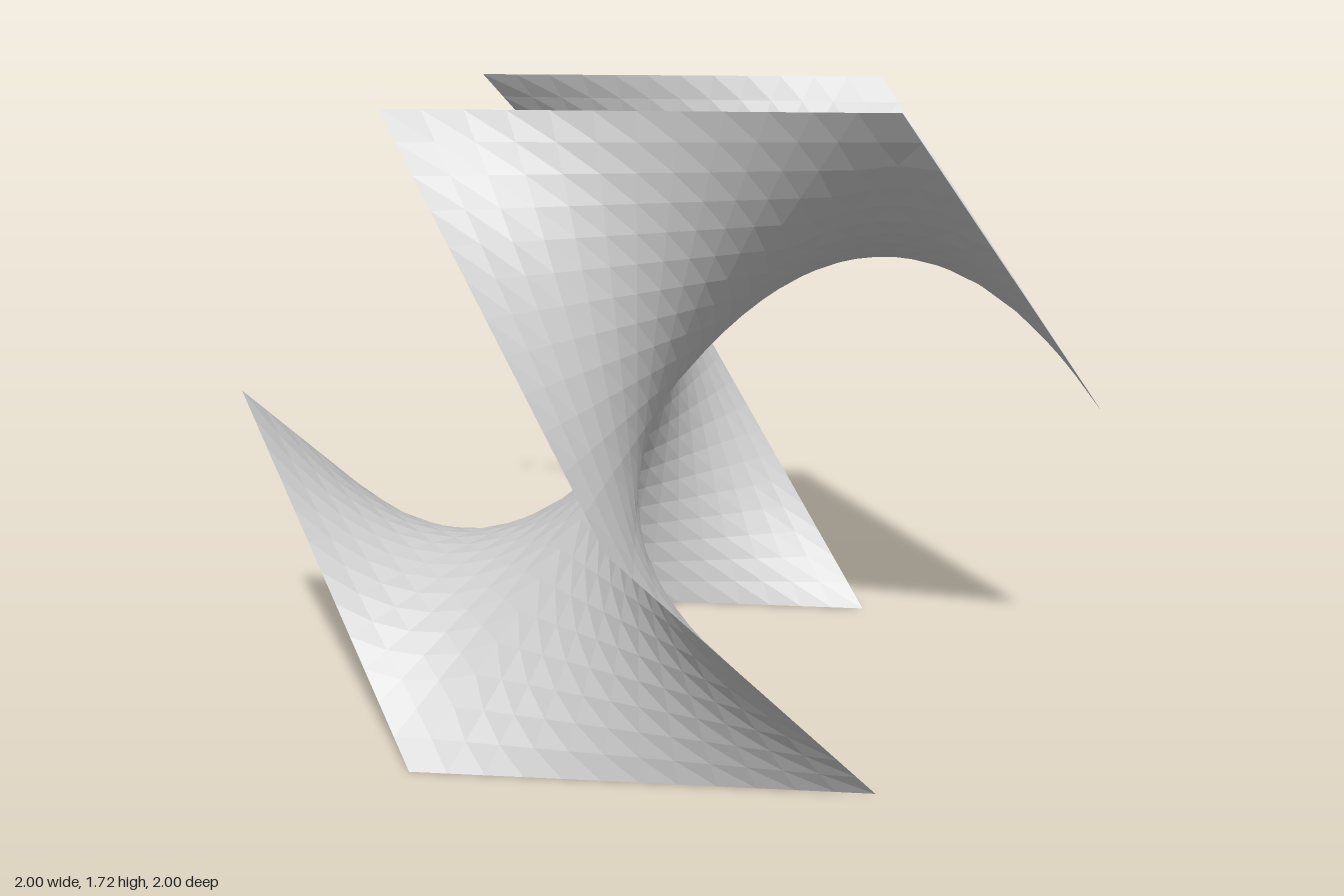
import * as THREE from 'three';
import { mergeVertices } from 'three/addons/utils/BufferGeometryUtils.js';

const HALF = 0.859;                 // half the side of the enclosing cube
const TURN = Math.atan2(0.31, 1.69); // turn of the cube about the vertical
const STEPS = 12;                   // facets along each patch edge

// Closed 12-sided rim through the midpoints of the cube's edges
const half = [[1, 1, 0], [1, 0, 1], [0, 1, 1], [-1, 1, 0], [-1, 0, 1], [0, -1, 1]];
const rim = [...half, ...half.map(p => p.map(c => -c))]
  .map(p => new THREE.Vector3(...p).multiplyScalar(HALF));

// Saddle patch ruled across the skew quad a-b-c-d
function saddlePatch(a, b, c, d) {
  const positions = [], index = [], row = STEPS + 1;
  for (let i = 0; i <= STEPS; i++) {
    const p = a.clone().lerp(b, i / STEPS);
    const q = d.clone().lerp(c, i / STEPS);
    for (let j = 0; j <= STEPS; j++) {
      positions.push(...p.clone().lerp(q, j / STEPS).toArray());
      if (i < STEPS && j < STEPS) {
        const k = i * row + j;
        index.push(k, k + row, k + row + 1, k, k + row + 1, k + 1);
      }
    }
  }
  const geometry = new THREE.BufferGeometry();
  geometry.setAttribute('position', new THREE.Float32BufferAttribute(positions, 3));
  geometry.setIndex(index);
  const merged = mergeVertices(geometry);
  merged.computeVertexNormals();
  return merged;
}

export function createModel() {
  const model = new THREE.Group();
  model.name = 'saddleSurface';
  const material = new THREE.MeshStandardMaterial({
    color: 0xcccccc, flatShading: true, side: THREE.DoubleSide,
  });

  // Six equal saddles fanned around the centre
  const sheet = new THREE.Group();
  sheet.name = 'sheet';
  const centre = new THREE.Vector3();
  for (let i = 0; i < 12; i += 2) {
    const patch = new THREE.Mesh(
      saddlePatch(centre, rim[i], rim[i + 1], rim[(i + 2) % 12]), material);
    patch.name = `saddlePatch${i / 2 + 1}`;
    sheet.add(patch);
  }
  sheet.rotation.y = -TURN;
  sheet.position.y = HALF;
  model.add(sheet);
  return model;
}
